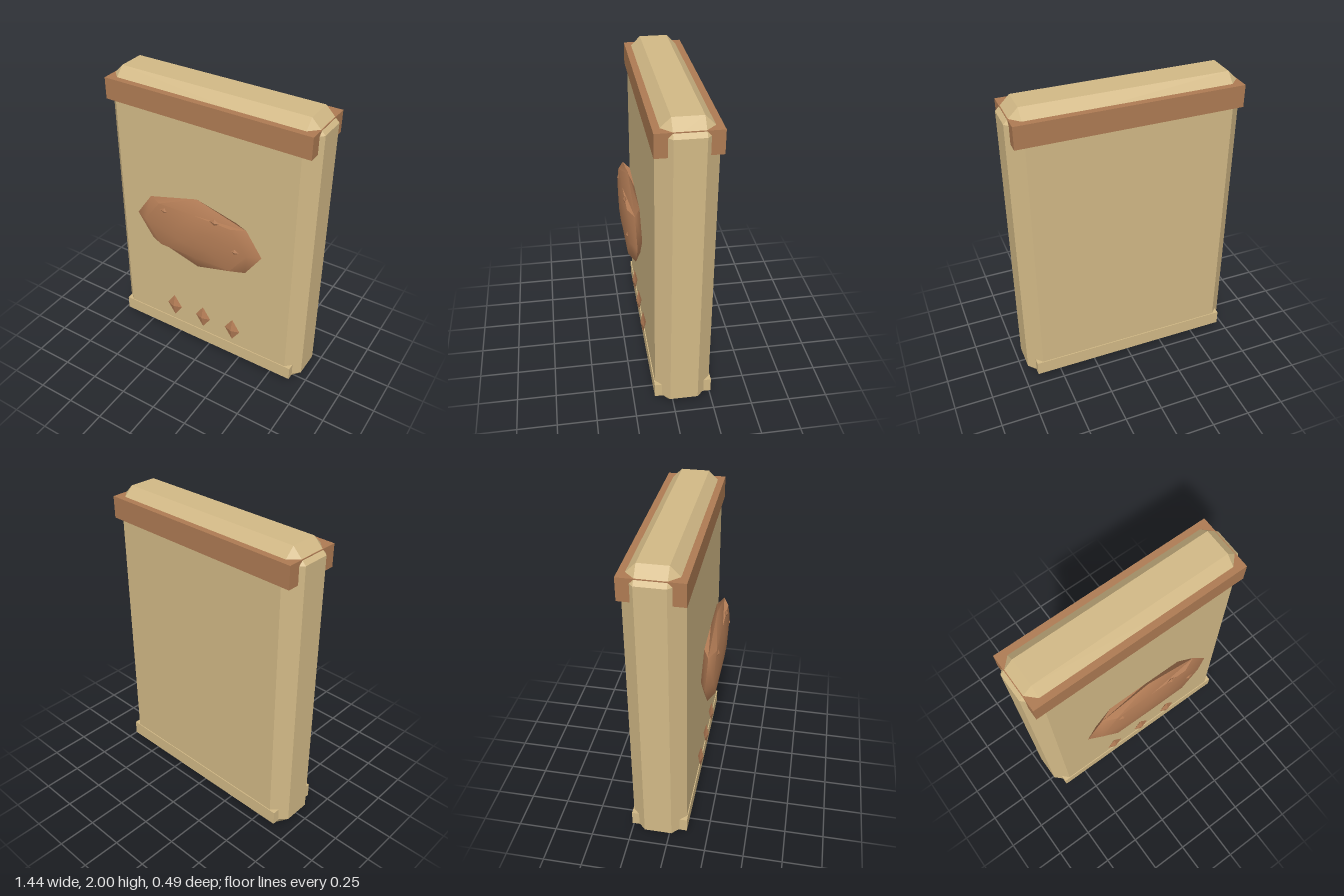
import * as THREE from 'three';
import { toCreasedNormals } from 'three/addons/utils/BufferGeometryUtils.js';
import { ConvexGeometry } from 'three/addons/geometries/ConvexGeometry.js';

const mat = (name, color, flatShading = false) => {
  const m = new THREE.MeshStandardMaterial({ color, flatShading });
  m.name = name;
  return m;
};

// Box with every edge cut at 45 degrees
function chamferedBox(w, h, d, c) {
  const pts = [];
  for (const x of [-w / 2, w / 2]) for (const y of [-h / 2, h / 2]) for (const z of [-d / 2, d / 2]) {
    const ix = x - Math.sign(x) * c, iy = y - Math.sign(y) * c, iz = z - Math.sign(z) * c;
    pts.push(new THREE.Vector3(x, iy, iz), new THREE.Vector3(ix, y, iz), new THREE.Vector3(ix, iy, z));
  }
  return new ConvexGeometry(pts);
}

// Flattened eight-sided lump: each ring is [side x, diagonal x, diagonal y, top y, z]
function lumpGeometry() {
  const rings = [
    [0.14, 0.10, 0.06, 0.075, -0.054], [0.375, 0.26, 0.160, 0.165, -0.038],
    [0.46, 0.35, 0.162, 0.262, 0],
    [0.375, 0.26, 0.160, 0.165, 0.038], [0.14, 0.10, 0.06, 0.075, 0.054],
  ];
  const pos = [], idx = [], n = 8;
  for (const [sx, dx, dy, ty, z] of rings) {
    for (const [x, y] of [[sx, 0], [dx, dy], [0, ty], [-dx, dy], [-sx, 0], [-dx, -dy], [0, -ty], [dx, -dy]]) {
      pos.push(x, y, z);
    }
  }
  for (let r = 0; r < rings.length - 1; r++) for (let i = 0; i < n; i++) {
    const a = r * n + i, b = r * n + (i + 1) % n;
    idx.push(a, b, b + n, a, b + n, a + n);
  }
  // Caps
  const back = rings.length * n, front = back + 1, last = (rings.length - 1) * n;
  pos.push(0, 0, -0.055, 0, 0, 0.055);
  for (let i = 0; i < n; i++) {
    const j = (i + 1) % n;
    idx.push(back, j, i, front, last + i, last + j);
  }
  const g = new THREE.BufferGeometry();
  g.setAttribute('position', new THREE.Float32BufferAttribute(pos, 3));
  g.setIndex(idx);
  return toCreasedNormals(g, 0.75);
}

export function createModel() {
  const group = new THREE.Group();
  const tan = mat('tan paper', 0xd2b986);
  const brown = mat('brown band', 0xae7b53);
  const skin = mat('brown skin', 0xb47d56);
  const skinFlat = mat('brown facets', 0xb47d56, true);

  const add = (name, geo, material, x, y, z) => {
    const m = new THREE.Mesh(geo, material);
    m.name = name;
    m.position.set(x, y, z);
    group.add(m);
    return m;
  };

  // Packet body with its two bands
  add('packetBody', chamferedBox(1.442, 2, 0.35, 0.087), tan, 0, 1, -0.06);
  add('topBand', new THREE.BoxGeometry(1.394, 0.14, 0.374), brown, 0, 1.872, -0.06);
  add('bottomBand', new THREE.BoxGeometry(1.35, 0.096, 0.362), tan, 0, 0.128, -0.06);

  // Tuber emblem and its eyes
  add('tuber', lumpGeometry(), skin, 0, 1.078, 0.19);
  const eye = new THREE.OctahedronGeometry(1);
  for (const [x, y, z] of [[-0.22, 1.198, 0.23], [0.15, 1.248, 0.229], [0.295, 1.085, 0.23]]) {
    add('tuberEye', eye, skinFlat, x, y, z).scale.set(0.035, 0.025, 0.011);
  }

  // Row of three diamonds
  const diamond = new THREE.OctahedronGeometry(1);
  for (const x of [-0.235, 0, 0.235]) {
    add('diamond', diamond, skinFlat, x, 0.328, 0.137).scale.set(0.058, 0.088, 0.019);
  }
  return group;
}
